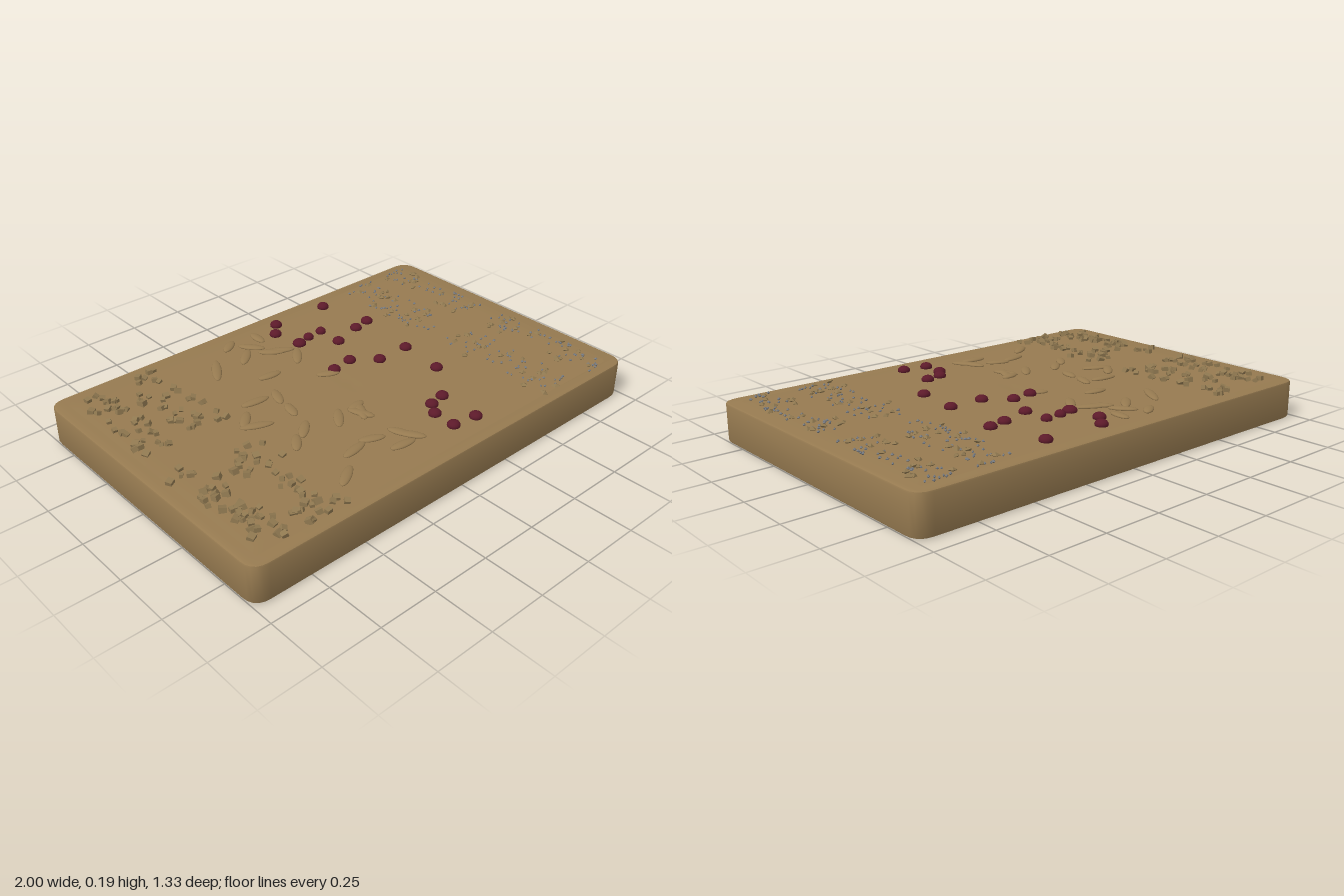
import * as THREE from 'three';
import { mergeGeometries, toCreasedNormals } from 'three/addons/utils/BufferGeometryUtils.js';

const TOP = 0.165, HX = 1, HZ = 0.665;

// Small seeded generator
function seeded(seed) {
  let s = seed;
  return () => {
    s = (s * 16807) % 2147483647;
    return s / 2147483647;
  };
}

function material(name, color, flatShading = false) {
  const m = new THREE.MeshStandardMaterial({ color, flatShading });
  m.name = name;
  return m;
}

// Copy of a geometry, scaled, turned and placed
function place(geometry, pos, size, rot) {
  const q = new THREE.Quaternion().setFromEuler(new THREE.Euler(...rot));
  return geometry.clone().applyMatrix4(
    new THREE.Matrix4().compose(new THREE.Vector3(...pos), q, new THREE.Vector3(...size)));
}

export function createModel() {
  const group = new THREE.Group();
  const add = (name, geometry, mat) => {
    const mesh = new THREE.Mesh(geometry, mat);
    mesh.name = name;
    group.add(mesh);
  };
  const dough = material('baked dough', 0x967a50);
  const almond = material('almond', 0x967a50);
  const nut = material('chopped nut', 0x8f7850);
  const berry = material('dark red berry', 0x5c1a2a);
  const seed = material('grey seed', 0x767a80);
  const rand = seeded(4217);
  const span = (a, b) => a + (b - a) * rand();

  // Slab with rounded corners and a narrow softened rim
  const r = 0.07, b = 0.008;
  const outline = new THREE.Shape();
  outline.moveTo(-HX + r, -HZ);
  outline.lineTo(HX - r, -HZ).quadraticCurveTo(HX, -HZ, HX, -HZ + r);
  outline.lineTo(HX, HZ - r).quadraticCurveTo(HX, HZ, HX - r, HZ);
  outline.lineTo(-HX + r, HZ).quadraticCurveTo(-HX, HZ, -HX, HZ - r);
  outline.lineTo(-HX, -HZ + r).quadraticCurveTo(-HX, -HZ, -HX + r, -HZ);
  const slab = new THREE.ExtrudeGeometry(outline, {
    depth: TOP - 0.003 - 2 * b, bevelThickness: b, bevelSize: b, bevelOffset: -b,
    bevelSegments: 2, curveSegments: 5
  });
  slab.rotateX(-Math.PI / 2).translate(0, b, 0);
  add('slab', toCreasedNormals(slab, 0.7), dough);

  // Slightly wavy top skin with a shallow dimpled cross in the middle
  const skin = new THREE.PlaneGeometry(1.9, 1.24, 76, 50).rotateX(-Math.PI / 2);
  const p = skin.attributes.position;
  for (let i = 0; i < p.count; i++) {
    const x = p.getX(i), z = p.getZ(i);
    const rim = Math.min(1, (0.95 - Math.abs(x)) / 0.05, (0.62 - Math.abs(z)) / 0.05);
    const wave = 0.0005 * Math.sin(9 * x + 3 * z) * Math.sin(11 * z - 2 * x);
    const cross = 0.002 * (Math.exp(-((x / 0.015) ** 2) - (z / 0.07) ** 2)
      + Math.exp(-((z / 0.015) ** 2) - (x / 0.25) ** 2));
    p.setY(i, TOP - 0.0035 + rim * (0.0035 + wave - Math.min(cross, 0.0022)));
  }
  skin.computeVertexNormals();
  add('topSkin', skin, dough);

  // Chopped nuts in two bands, gathered in four patches
  const cube = new THREE.BoxGeometry(1, 1, 1);
  const nuts = [];
  const patches = [[-0.6, -0.37, 16], [-0.33, -0.1, 20], [0.05, 0.31, 16], [0.35, 0.61, 24]];
  for (const [x0, x1] of [[-0.94, -0.78], [-0.73, -0.53]])
    for (const [z0, z1, n] of patches)
      for (let i = 0; i < n; i++) {
        const s = span(0.017, 0.028);
        nuts.push(place(cube, [span(x0, x1), TOP + 0.006, span(z0, z1)],
          [s, s * 0.8, s * span(0.75, 1.1)], [span(-0.5, 0.5), span(0, 3), span(-0.5, 0.5)]));
      }
  add('choppedNuts', mergeGeometries(nuts), nut);

  // Almond slivers: x, z, turn seen from above, length
  const slivers = [
    [-0.19, -0.55, 0.6, 0.1], [-0.05, -0.53, 1.5, 0.1], [-0.12, -0.48, -0.9, 0.12],
    [-0.35, -0.42, 1.0, 0.17], [-0.19, -0.43, 0.75, 0.13], [-0.08, -0.39, -0.65, 0.12],
    [-0.05, -0.38, -0.5, 0.14], [-0.02, -0.29, 0.9, 0.13], [-0.21, -0.24, -0.1, 0.11],
    [-0.38, -0.12, -0.1, 0.13], [-0.29, -0.09, 1.2, 0.11], [-0.02, -0.09, -0.5, 0.1],
    [-0.49, -0.04, 0.8, 0.12], [-0.48, 0.02, -0.4, 0.14], [-0.31, 0.02, 1.3, 0.1],
    [-0.44, 0.21, 0.9, 0.11], [-0.36, 0.16, 0.75, 0.12], [-0.21, 0.19, 0.9, 0.13],
    [-0.1, 0.17, 0.2, 0.09], [-0.12, 0.22, -1.2, 0.12], [-0.11, 0.21, 1.1, 0.13],
    [-0.31, 0.39, 0.2, 0.13], [-0.21, 0.38, -0.4, 0.11], [-0.44, 0.49, 0.6, 0.13],
    [-0.15, 0.485, -0.1, 0.12], [-0.1, 0.42, -1.2, 0.11], [-0.08, 0.46, -1.0, 0.12]
  ];
  const ball = new THREE.SphereGeometry(0.5, 16, 10);
  add('almondSlivers', mergeGeometries(slivers.map(([x, z, a, l]) =>
    place(ball, [x, TOP + 0.003, z], [l, 0.018, 0.042], [0, a, 0]))), almond);

  // Berries: x, z
  const spots = [
    [0.085, -0.565], [0.03, -0.5], [0.36, -0.56], [0.055, -0.365], [0.12, -0.38],
    [0.195, -0.385], [0.195, -0.265], [0.335, -0.305], [0.415, -0.32], [0.02, -0.095],
    [0.12, -0.11], [0.22, -0.03], [0.375, -0.03], [0.35, 0.18], [0.13, 0.365],
    [0.205, 0.35], [0.09, 0.42], [0.085, 0.525], [0.195, 0.54]
  ];
  add('berries', mergeGeometries(spots.map(([x, z], i) => {
    const d = i === 3 ? 0.06 : i === 4 || i === 5 ? 0.046 : 0.054;
    return place(ball, [x, TOP + 0.006, z], [d, 0.038, d], [0, i, 0]);
  })), berry);

  // Nut crumbs and fine grey seeds in two bands on the other end
  const chip = new THREE.OctahedronGeometry(0.5, 0);
  const crumbs = [], seeds = [];
  for (const [x0, x1] of [[0.51, 0.71], [0.78, 0.93]])
    for (const [z0, z1] of patches) {
      for (let i = 0; i < 9; i++) {
        const s = span(0.026, 0.042);
        crumbs.push(place(chip, [span(x0, x1), TOP + 0.003, span(z0, z1)],
          [s, 0.02, s * 0.8], [span(-0.3, 0.3), span(0, 3), span(-0.3, 0.3)]));
      }
      for (let i = 0; i < 24; i++) {
        const s = span(0.009, 0.015);
        seeds.push(place(chip, [span(x0 + 0.02, x1), TOP + 0.003, span(z0 - 0.02, z1 + 0.02)],
          [s, 0.013, s * 1.2], [0, span(0, 3), 0]));
      }
    }
  add('nutCrumbs', mergeGeometries(crumbs), nut);
  add('greySeeds', mergeGeometries(seeds), seed);
  return group;
}
